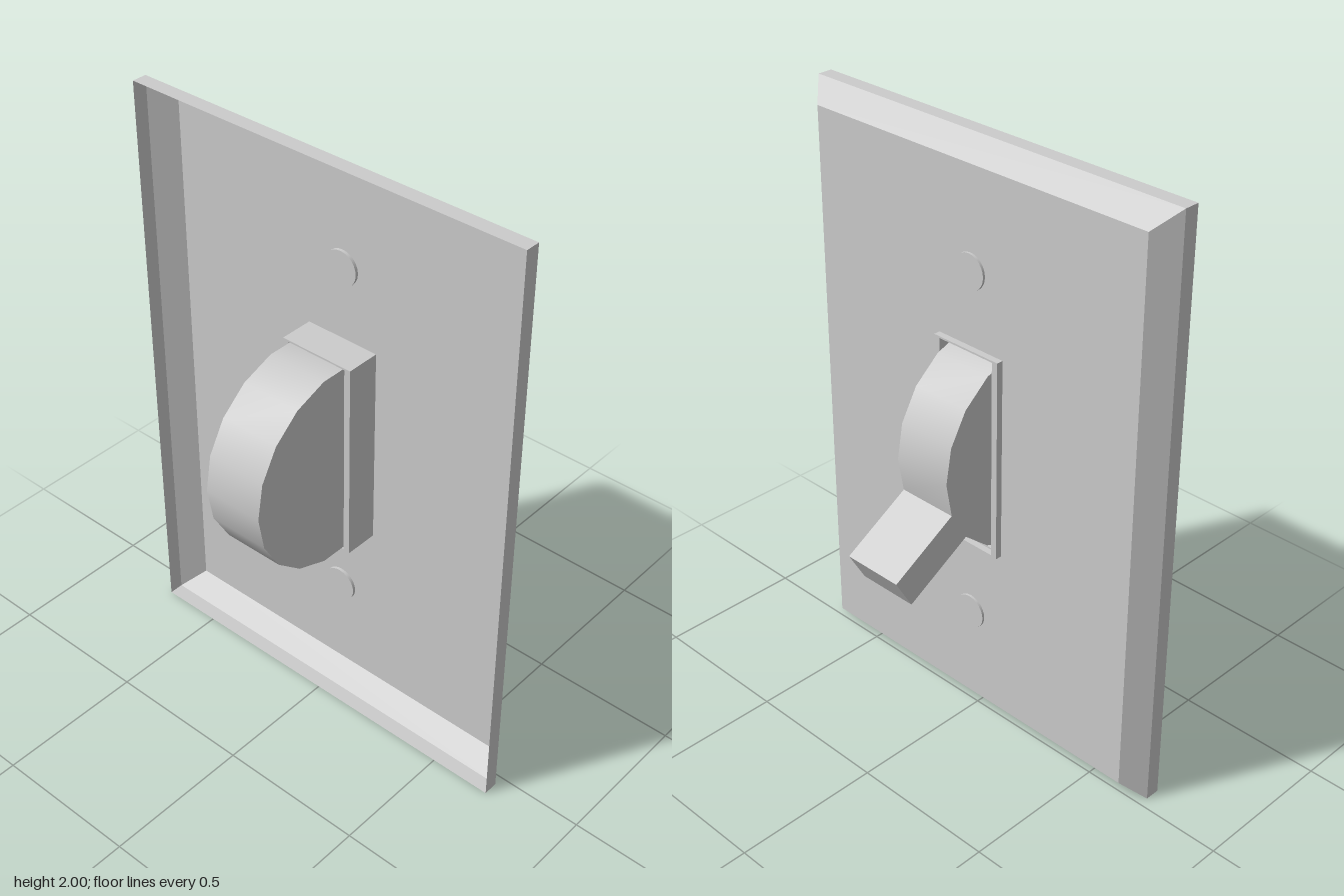
import * as THREE from 'three';
import { toCreasedNormals } from 'three/addons/utils/BufferGeometryUtils.js';

const material = new THREE.MeshStandardMaterial({ color: 0xcccccc, side: THREE.DoubleSide });

function addPart(parent, name, geometry) {
  const mesh = new THREE.Mesh(geometry, material);
  mesh.name = name;
  parent.add(mesh);
  return mesh;
}

// Rectangle centred on z = 0, drawn in the plane that later turns to face +x
function rectangle(halfWidth, bottom, top, PathType = THREE.Shape) {
  return new PathType([
    [-halfWidth, bottom], [halfWidth, bottom], [halfWidth, top], [-halfWidth, top],
  ].map(([x, y]) => new THREE.Vector2(x, y)));
}

// Hollow rim and bevel: quads joining successive rectangular loops
function rimGeometry(loops) {
  const rings = loops.map(({ x, w, h }) => [
    [x, 1 - h, w], [x, 1 - h, -w], [x, 1 + h, -w], [x, 1 + h, w],
  ]);
  const points = [];
  for (let r = 0; r < rings.length - 1; r++) {
    for (let i = 0; i < 4; i++) {
      const j = (i + 1) % 4;
      const a = rings[r][i], b = rings[r][j], c = rings[r + 1][j], d = rings[r + 1][i];
      points.push(...a, ...b, ...c, ...a, ...c, ...d);
    }
  }
  const geometry = new THREE.BufferGeometry();
  geometry.setAttribute('position', new THREE.Float32BufferAttribute(points, 3));
  geometry.computeVertexNormals();
  return geometry;
}

export function createModel() {
  const model = new THREE.Group();
  model.name = 'toggleSwitch';

  // Wall plate: thin open-backed shell with a slot for the toggle
  const plate = new THREE.Group();
  plate.name = 'wallPlate';
  model.add(plate);
  addPart(plate, 'plateRim', rimGeometry([
    { x: -0.085, w: 0.71, h: 1 },
    { x: -0.035, w: 0.71, h: 1 },
    { x: 0.03, w: 0.645, h: 0.935 },
  ]));
  const face = rectangle(0.645, 0.065, 1.935);
  face.holes.push(rectangle(0.12, 0.68, 1.35, THREE.Path));
  addPart(plate, 'plateFace', new THREE.ShapeGeometry(face).rotateY(Math.PI / 2).translate(0.03, 0, 0));

  // Collar lining the slot, from the back of the plate to just proud of its face
  const collar = rectangle(0.131, 0.67, 1.361);
  collar.holes.push(rectangle(0.109, 0.675, 1.355, THREE.Path));
  addPart(model, 'slotCollar',
    new THREE.ExtrudeGeometry(collar, { depth: 0.137, bevelEnabled: false })
      .rotateY(Math.PI / 2).translate(-0.085, 0, 0));

  // Screw heads above and below the slot
  for (const [name, y] of [['upperScrew', 1.605], ['lowerScrew', 0.395]]) {
    const screw = new THREE.CylinderGeometry(0.059, 0.059, 0.018, 24).rotateZ(-Math.PI / 2);
    addPart(model, name, screw).position.set(0.029, y, 0);
  }

  // Toggle: 18-sided wheel with the lever drawn out of one of its sides
  const outline = [];
  for (let i = 0; i < 18; i++) {
    const angle = (i - 1) * Math.PI / 9;
    outline.push(new THREE.Vector2(-0.106 + 0.344 * Math.cos(angle), 1.015 + 0.344 * Math.sin(angle)));
  }
  outline.push(new THREE.Vector2(0.389, 0.661), new THREE.Vector2(0.448, 0.764));
  const toggle = new THREE.ExtrudeGeometry(new THREE.Shape(outline), { depth: 0.208, bevelEnabled: false });
  toggle.translate(0, 0, -0.106);
  addPart(model, 'toggle', toCreasedNormals(toggle, 0.5));

  return model;
}
